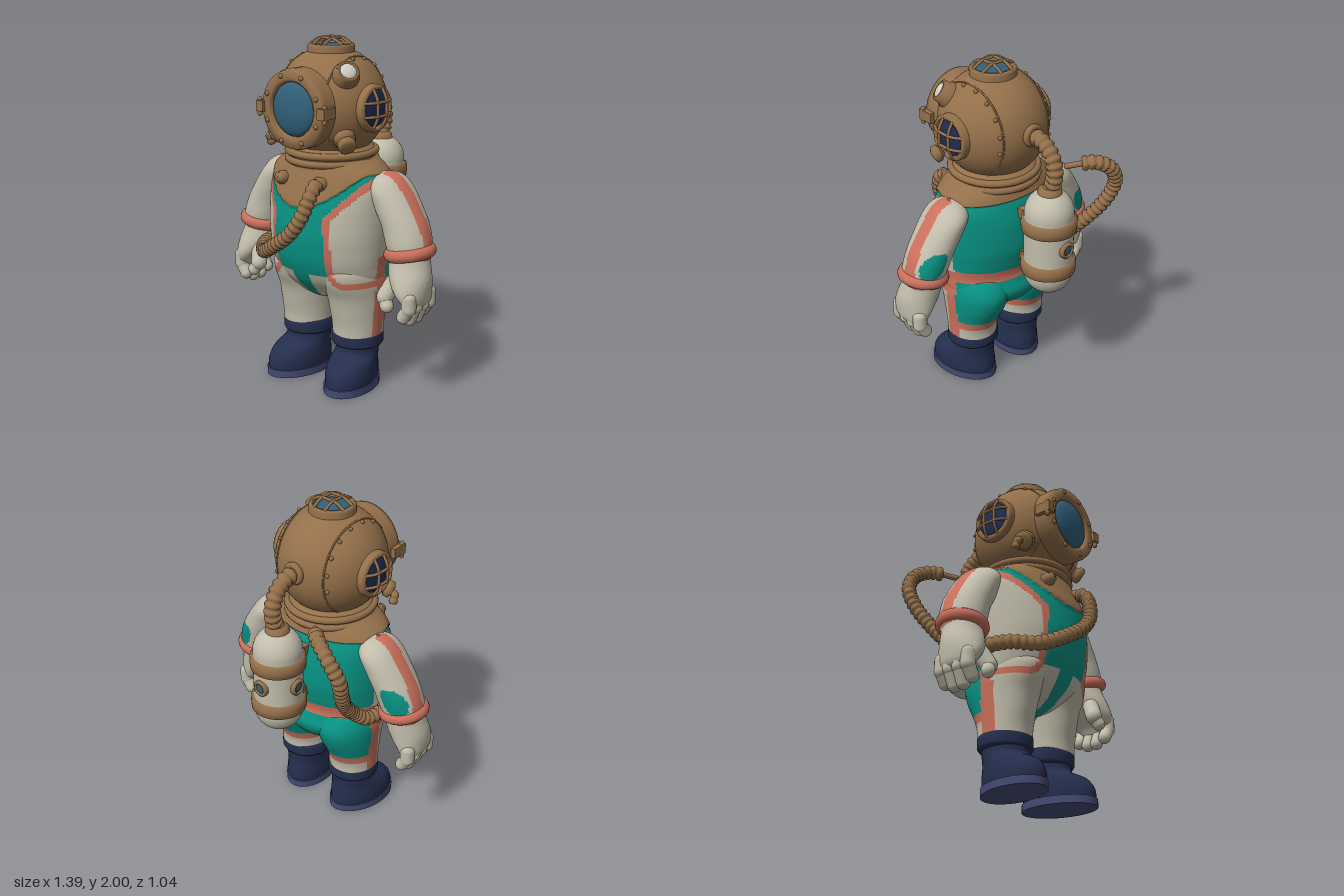
import * as THREE from 'three';

const mat = (name, color) => Object.assign(new THREE.MeshStandardMaterial({ color }), { name });
const V = (x, y, z) => new THREE.Vector3(x, y, z);

export function createModel() {
  const M = {
    brass: mat('brass', 0x94704a), cream: mat('cream cloth', 0xc2bdab), teal: mat('teal cloth', 0x089283),
    coral: mat('coral trim', 0xcb705c), navy: mat('navy rubber', 0x252f4e), sole: mat('sole rubber', 0x454a74),
    glass: mat('window glass', 0x31607a), pane: mat('dark pane', 0x1f2d55), lens: mat('lamp lens', 0xd0cec4),
  };
  const model = new THREE.Group();
  model.name = 'diver';

  const add = (name, geo, m, parent = model, pos = [0, 0, 0]) => {
    const mesh = new THREE.Mesh(geo, m);
    mesh.name = name;
    mesh.position.set(...pos);
    parent.add(mesh);
    return mesh;
  };

  // Smooth skin over horizontal oval slices [y, centre x, centre z, radius x, radius z], bottom to top.
  // paint(x, y, z, angle) picks the material of each face; push(x, y, z) swells the surface.
  function loft(name, rows, nu, nv, paint, parent = model, push = null) {
    const at = (k, t) => {
      const f = t * (rows.length - 1), i = Math.min(Math.floor(f), rows.length - 2), u = f - i;
      const [a, b, c, d] = [i - 1, i, i + 1, i + 2].map(n => rows[Math.max(0, Math.min(rows.length - 1, n))][k]);
      return b + 0.5 * u * (c - a + u * (2 * a - 5 * b + 4 * c - d + u * (3 * (b - c) + d - a)));
    };
    const pos = [], faces = new Map();
    for (let j = 0; j <= nv; j++) {
      const [y, cx, cz, rx, rz] = [0, 1, 2, 3, 4].map(k => at(k, j / nv));
      for (let i = 0; i < nu; i++) {
        const a = i / nu * Math.PI * 2, sx = Math.sin(a), sz = Math.cos(a);
        const p = push ? push(cx + rx * sx, y, cz + rz * sz) : 0;
        pos.push(cx + (rx + p) * sx, y, cz + (rz + p) * sz);
      }
    }
    for (let j = 0; j < nv; j++) for (let i = 0; i < nu; i++) {
      const n = (i + 1) % nu, q = [j * nu + i, j * nu + n, (j + 1) * nu + n, (j + 1) * nu + i];
      const mid = k => q.reduce((s, v) => s + pos[v * 3 + k], 0) / 4;
      const m = paint.isMaterial ? paint : paint(mid(0), mid(1), mid(2), (i + 0.5) / nu * Math.PI * 2);
      if (!faces.has(m)) faces.set(m, []);
      faces.get(m).push(q[0], q[1], q[2], q[0], q[2], q[3]);
    }
    const g = new THREE.BufferGeometry(), index = [], mats = [...faces.keys()];
    mats.forEach((m, k) => { g.addGroup(index.length, faces.get(m).length, k); for (const v of faces.get(m)) index.push(v); });
    g.setAttribute('position', new THREE.Float32BufferAttribute(pos, 3));
    g.setIndex(index);
    g.computeVertexNormals();
    return add(name, g, mats, parent);
  }

  // Ribbed hose along a curve
  function hose(name, pts, r) {
    const curve = new THREE.CatmullRomCurve3(pts.map(p => V(...p)));
    const ribs = Math.round(curve.getLength() / 0.038), n = ribs * 5, sides = 12;
    const g = new THREE.TubeGeometry(curve, n, r * 0.82, sides);
    const p = g.attributes.position, nm = g.attributes.normal;
    for (let i = 0; i < p.count; i++) {
      const s = r * 0.28 * Math.abs(Math.sin(Math.floor(i / (sides + 1)) / 5 * Math.PI));
      p.setXYZ(i, p.getX(i) + nm.getX(i) * s, p.getY(i) + nm.getY(i) * s, p.getZ(i) + nm.getZ(i) * s);
    }
    g.computeVertexNormals();
    return add(name, g, M.brass);
  }

  // Rounded rod between two points
  function rod(name, a, b, r, m) {
    const A = V(...a), d = V(...b).sub(A);
    const o = add(name, new THREE.CapsuleGeometry(r, d.length(), 5, 14), m);
    o.position.copy(A).addScaledVector(d, 0.5);
    o.quaternion.setFromUnitVectors(V(0, 1, 0), d.normalize());
    return o;
  }
  const lathe = (pts, n = 48) => new THREE.LatheGeometry(pts.map(p => new THREE.Vector2(...p)), n);
  const dome = (r, h, n = 30) => new THREE.SphereGeometry(r, n, n / 3, 0, Math.PI * 2, 0, Math.PI / 2).scale(1, h / r, 1);
  const ring = (r, t, n = 40) => new THREE.TorusGeometry(r, t, 10, n).rotateX(Math.PI / 2);

  // Suit colours by position
  const corseletEdge = (x, z) => z < 0.09 ? 1.255 : Math.min(1.27, 1.085 + 1.75 * x * x);
  function suit(x, y, z) {
    const ax = Math.abs(x);
    if (y < 0.8 && z > 0.04 && z < 0.125 && ax > 0.25) return M.coral;
    if (z < 0.045) {
      if (y > 0.735 && y < 0.81) return M.coral;
      return y > 0.44 ? M.teal : y > 0.395 ? M.coral : M.cream;
    }
    const dx = ax - 0.175, dy = y - 0.625, r = 0.09;
    let d = dx < r && dy < r ? r - Math.hypot(r - dx, r - dy) : Math.min(dx, dy);
    d = Math.min(d, (ax - 0.18) * 0.76 - (y - 1.05) * 0.65);
    if (d > 0.037) return M.cream;
    if (d > 0) return M.coral;
    return y > 0.7 || (ax < 0.03 + (y - 0.48) * 0.13 && y > 0.48) ? M.teal : M.cream;
  }

  // Torso with the breastplate standing slightly proud
  const torso = [
    [0.49, 0, 0.06, 0.02, 0.03], [0.52, 0, 0.06, 0.13, 0.15], [0.58, 0, 0.065, 0.27, 0.22], [0.65, 0, 0.08, 0.345, 0.265],
    [0.75, 0, 0.115, 0.36, 0.275], [0.85, 0, 0.115, 0.37, 0.295], [0.95, 0, 0.108, 0.378, 0.307], [1.1, 0, 0.1, 0.385, 0.295],
    [1.2, 0, 0.093, 0.385, 0.265], [1.28, 0, 0.092, 0.345, 0.235], [1.34, 0, 0.09, 0.25, 0.215],
  ];
  const plated = (x, y, z) => y > corseletEdge(x, z);
  loft('torso', torso, 150, 120, (x, y, z) => plated(x, y, z) ? M.brass : suit(x, y, z), model,
    (x, y, z) => plated(x, y, z) ? 0.012 : 0);
  for (const x of [-0.14, 0.13]) {
    const knob = add('chestFitting', lathe([[0.04, -0.03], [0.04, 0.01], [0.028, 0.018], [0.028, 0.035], [0, 0.042]], 20), M.brass, model, [x, 1.225, 0.355]);
    knob.rotation.x = 1.35;
  }

  // Neck rings
  add('neck', lathe([[0.25, 1.29], [0.25, 1.36], [0.235, 1.39], [0.17, 1.42]]), M.brass, model, [0, 0, 0.09]);
  for (const y of [1.32, 1.365]) add('neckRing', ring(0.248, 0.021, 56), M.brass, model, [0, y, 0.09]);

  for (const s of [1, -1]) {
    // Leg
    loft('leg', [
      [0.3, s * 0.19, 0.085, 0.145, 0.15], [0.37, s * 0.19, 0.085, 0.148, 0.155], [0.45, s * 0.188, 0.078, 0.155, 0.178],
      [0.55, s * 0.184, 0.065, 0.168, 0.215], [0.64, s * 0.18, 0.075, 0.175, 0.245], [0.72, s * 0.17, 0.1, 0.17, 0.235], [0.78, s * 0.16, 0.11, 0.13, 0.18],
    ], 64, 56, suit);

    // Boot
    const boot = new THREE.Group();
    boot.name = 'boot';
    boot.position.set(s * 0.187, 0, 0.085);
    boot.rotation.y = s * 0.2;
    model.add(boot);
    add('sole', new THREE.CylinderGeometry(1, 1, 0.045, 40).scale(0.142, 1, 0.222), M.sole, boot, [0, 0.0225, 0.07]);
    loft('bootUpper', [
      [0.04, 0, 0.07, 0.134, 0.213], [0.1, 0, 0.068, 0.136, 0.21], [0.16, 0, 0.05, 0.13, 0.185],
      [0.205, 0, 0.008, 0.123, 0.142], [0.25, 0, 0, 0.122, 0.138], [0.3, 0, 0, 0.125, 0.138],
    ], 40, 20, M.navy, boot);
    add('bootCuff', lathe([[0.12, 0.245], [0.145, 0.25], [0.152, 0.262], [0.152, 0.315], [0.145, 0.328], [0.12, 0.33]]), M.navy, boot);

    // Sleeve with stripe and elbow patch
    loft('sleeve', [
      [0.82, s * 0.553, 0.08, 0.11, 0.115], [0.9, s * 0.54, 0.075, 0.128, 0.132], [1.0, s * 0.507, 0.065, 0.132, 0.138],
      [1.1, s * 0.452, 0.06, 0.13, 0.142], [1.2, s * 0.395, 0.055, 0.115, 0.14], [1.26, s * 0.375, 0.055, 0.075, 0.095], [1.287, s * 0.37, 0.055, 0.01, 0.01],
    ], 76, 60, (x, y, z, a) => {
      const out = Math.sin(a) * s, back = Math.atan2(-Math.cos(a), out);
      if (out > 0 && Math.abs(z - 0.064) < 0.042) return M.coral;
      return ((back - 1.1) / 0.58) ** 2 + ((y - 0.97) / 0.085) ** 2 < 1 ? M.teal : M.cream;
    });
    const cuff = add('cuff', ring(0.117, 0.028).scale(1, 1.25, 1.04), M.coral, model, [s * 0.55, 0.86, 0.08]);
    cuff.rotation.z = s * 0.18;

    // Mitten hand
    loft('palm', [
      [0.56, s * 0.618, 0.11, 0.03, 0.07], [0.6, s * 0.622, 0.112, 0.058, 0.115], [0.66, s * 0.6, 0.115, 0.09, 0.132],
      [0.73, s * 0.575, 0.105, 0.115, 0.128], [0.8, s * 0.558, 0.09, 0.115, 0.118], [0.87, s * 0.55, 0.08, 0.105, 0.11],
    ], 32, 20, M.cream);
    [0.02, 0.08, 0.142, 0.2].forEach((z, i) => {
      const lift = i === 0 || i === 3 ? 0.025 : 0;
      rod('finger', [s * 0.635, 0.64, z], [s * 0.635, 0.58, z], 0.042, M.cream);
      rod('fingerTip', [s * 0.635, 0.58, z], [s * 0.6, 0.5 + lift, z], 0.038, M.cream);
    });
    rod('thumb', [s * 0.51, 0.7, 0.17], [s * 0.48, 0.62, 0.21], 0.048, M.cream);
    rod('thumbTip', [s * 0.48, 0.62, 0.21], [s * 0.505, 0.575, 0.225], 0.038, M.cream);
  }

  // Helmet
  const C = V(0, 1.63, 0.095), R = 0.315;
  add('helmet', new THREE.SphereGeometry(R, 56, 40), M.brass, model, C.toArray());
  const port = (name, x, y, z) => {
    const g = new THREE.Group();
    g.name = name;
    g.position.copy(C);
    g.quaternion.setFromUnitVectors(V(0, 1, 0), V(x, y, z).normalize());
    model.add(g);
    return g;
  };

  // Front window with hinges and bolts
  const front = port('frontWindow', 0, 0, 1);
  add('windowFrame', lathe([[0.22, 0.18], [0.222, 0.3], [0.214, 0.33], [0.168, 0.335], [0.15, 0.322], [0.148, 0.26]], 56), M.brass, front);
  add('windowGlass', dome(0.15, 0.05), M.glass, front, [0, 0.305, 0]);
  for (const s of [1, -1]) {
    add('hinge', new THREE.BoxGeometry(0.05, 0.1, 0.06), M.brass, front, [s * 0.222, 0.3, 0]);
    rod('hingePin', [s * 0.235, 1.585, 0.425], [s * 0.235, 1.665, 0.425], 0.014, M.brass);
  }
  for (let i = 0; i < 8; i++) {
    const a = (i + 0.5) * Math.PI / 4;
    add('bolt', dome(0.015, 0.014, 12), M.brass, front, [Math.cos(a) * 0.19, 0.331, Math.sin(a) * 0.19]);
  }

  // Barred side and top windows
  for (const [x, y] of [[1, 0], [-1, 0], [0, 1]]) {
    const g = port(y ? 'topWindow' : 'sideWindow', x, y, 0);
    add('windowFrame', lathe([[0.132, 0.24], [0.132, 0.318], [0.122, 0.33], [0.105, 0.33], [0.1, 0.3]]), M.brass, g);
    add('windowPane', dome(0.105, 0.022), y ? M.glass : M.pane, g, [0, 0.309, 0]);
    for (const o of [-0.038, 0.038]) for (const turn of [0, Math.PI / 2]) {
      const c = new THREE.CatmullRomCurve3([V(-0.113, 0.325, o), V(-0.06, 0.355, o), V(0, 0.361, o), V(0.06, 0.355, o), V(0.113, 0.325, o)]);
      add('windowBar', new THREE.TubeGeometry(c, 14, 0.009, 8), M.brass, g).rotation.y = turn;
    }
  }

  // Lamp and lower valves
  const lamp = port('lamp', 0.25, 0.21, 0.155);
  add('lampHousing', lathe([[0.075, 0.27], [0.075, 0.32], [0.064, 0.33], [0.062, 0.365], [0.046, 0.37], [0.046, 0.35]], 28), M.brass, lamp);
  add('lampLens', dome(0.048, 0.02, 24), M.lens, lamp, [0, 0.358, 0]);
  for (const s of [1, -1]) {
    const valve = port('valve', s * 0.26, -0.18, 0.18);
    add('valveBody', lathe([[0.06, 0.27], [0.06, 0.325], [0.035, 0.33], [0.035, 0.352], [0.05, 0.355], [0.05, 0.385], [0.03, 0.395], [0, 0.395]], 24), M.brass, valve);
  }
  hose('valvePipe', [[-0.27, 1.45, 0.26], [-0.31, 1.43, 0.27], [-0.315, 1.38, 0.25]], 0.024);

  // Riveted seams
  for (const s of [1, -1]) {
    const r = Math.sqrt(R * R - 0.165 * 0.165);
    add('helmetSeam', new THREE.TorusGeometry(r, 0.005, 6, 64).rotateY(Math.PI / 2), M.brass, model, [s * 0.165, C.y, C.z]);
    for (let i = 0; i < 7; i++) {
      const a = -0.2 + i * 0.38;
      add('rivet', new THREE.SphereGeometry(0.012, 10, 8), M.brass, model, [s * 0.182, C.y + Math.sin(a) * (r - 0.008), C.z - Math.cos(a) * (r - 0.008)]);
    }
  }

  // Air tank on the back
  const tank = new THREE.Group();
  tank.name = 'airTank';
  tank.position.set(0, 1.055, -0.36);
  model.add(tank);
  add('tankBody', new THREE.CapsuleGeometry(0.14, 0.37, 12, 40), M.cream, tank);
  for (const y of [0.12, -0.145]) {
    add('tankBand', lathe([[0.138, y - 0.04], [0.155, y - 0.036], [0.158, y], [0.155, y + 0.036], [0.138, y + 0.04]]), M.brass, tank);
    add('tankBracket', new THREE.BoxGeometry(0.12, 0.06, 0.1), M.brass, tank, [0, y, 0.15]);
  }
  for (const [x, z] of [[0, -1], [-1, 0]]) {
    const g = new THREE.Group();
    g.name = 'gauge';
    g.quaternion.setFromUnitVectors(V(0, 1, 0), V(x, 0, z));
    tank.add(g);
    add('gaugeRim', lathe([[0.048, 0.12], [0.048, 0.15], [0.04, 0.157], [0.03, 0.157], [0.028, 0.14]], 24), M.brass, g);
    add('gaugeFace', dome(0.03, 0.007, 18), M.glass, g, [0, 0.147, 0]);
  }
  add('tankCap', lathe([[0.07, 1.35], [0.065, 1.385], [0.045, 1.4], [0, 1.4]], 28), M.brass, model, [0, 0, -0.36]);

  // Hoses
  hose('tankHose', [[0, 1.655, -0.2], [0, 1.645, -0.29], [0, 1.585, -0.365], [0, 1.49, -0.395], [0, 1.37, -0.365]], 0.045);
  add('hoseFlange', ring(0.048, 0.018, 28).rotateX(Math.PI / 2), M.brass, model, [0, 1.655, -0.222]);
  hose('airHose', [
    [0.13, 1.235, 0.37], [0.135, 1.19, 0.42], [0.1, 1.06, 0.465], [0.02, 0.95, 0.475], [-0.13, 0.845, 0.45], [-0.27, 0.775, 0.38],
    [-0.375, 0.78, 0.26], [-0.405, 0.785, 0.1], [-0.39, 0.79, -0.05], [-0.37, 0.86, -0.14], [-0.4, 0.99, -0.26],
    [-0.455, 1.14, -0.36], [-0.475, 1.27, -0.41], [-0.41, 1.39, -0.43], [-0.32, 1.445, -0.395], [-0.26, 1.44, -0.345],
  ], 0.04);
  rod('hoseNozzle', [-0.26, 1.44, -0.345], [-0.205, 1.42, -0.285], 0.017, M.brass);

  return model;
}
